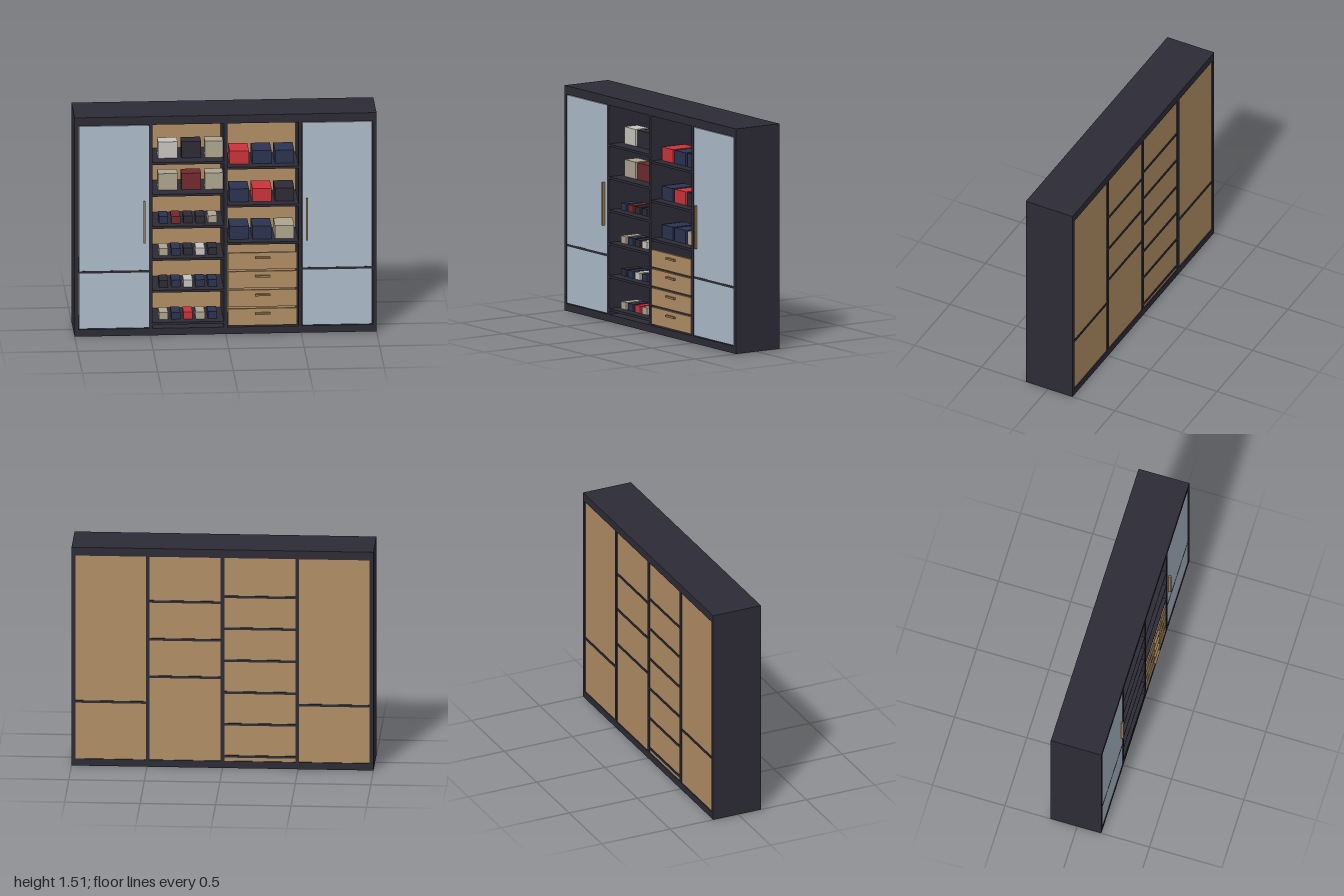
import * as THREE from 'three';

const material = (name, color) => new THREE.MeshStandardMaterial({ name, color });

export function createModel() {
  const root = new THREE.Group();
  root.name = 'wardrobe';

  const dark = material('charcoal', 0x2d2c36);
  const wood = material('oak', 0xb18e65);
  const glass = material('pale blue', 0xaebbcb);
  const bronze = material('bronze', 0x957650);
  const navy = material('navy', 0x2b3350);
  const red = material('red', 0xcb333b);
  const maroon = material('maroon', 0x702a2f);
  const beige = material('beige', 0xaea58f);
  const white = material('off white', 0xc8c5bf);

  // Box given by its extents on each axis
  const box = (name, mat, [x0, x1], [y0, y1], [z0, z1]) => {
    const mesh = new THREE.Mesh(new THREE.BoxGeometry(x1 - x0, y1 - y0, z1 - z0), mat);
    mesh.position.set((x0 + x1) / 2, (y0 + y1) / 2, (z0 + z1) / 2);
    mesh.name = name;
    root.add(mesh);
    return mesh;
  };

  const FRONT = 0.167, BACK = -0.183;
  const depth = [BACK, FRONT];

  // Carcass
  box('topPanel', dark, [-1, 1], [1.455, 1.512], depth);
  box('bottomPlinth', dark, [-1, 1], [0, 0.048], depth);
  for (const s of [-1, 1]) {
    box('sidePanel', dark, s < 0 ? [-1, -0.975] : [0.975, 1], [0.048, 1.455], depth);
    box('divider', dark, s < 0 ? [-0.507, -0.483] : [0.483, 0.507], [0.048, 1.455], depth);
  }
  box('centreDivider', dark, [-0.012, 0.012], [0.048, 1.455], depth);
  box('backPanel', wood, [-0.976, 0.976], [0.047, 1.456], [-0.176, -0.166]);

  // Shelves, given by the height of their middle
  const shelf = (x, y) => box('shelf', dark, x, [y - 0.008, y + 0.008], [BACK + 0.002, FRONT - 0.001]);
  const leftShelves = [1.185, 0.965, 0.743, 0.522, 0.302, 0.08];
  const rightShelves = [1.144, 0.882, 0.623];
  leftShelves.forEach(y => shelf([-0.483, -0.012], y));
  rightShelves.forEach(y => shelf([0.012, 0.483], y));

  // Doors with their inner shelf and long handle
  for (const s of [-1, 1]) {
    const span = (a, b) => (s < 0 ? [-b, -a] : [a, b]);
    box('door', glass, span(0.509, 0.971), [0.053, 1.451], [FRONT - 0.022, FRONT - 0.002]);
    shelf(span(0.507, 0.975), 0.443);
    box('doorHandle', bronze, span(0.533, 0.545), [0.64, 0.93], [FRONT - 0.002, 0.183]);
  }

  // Drawer fronts and pulls
  for (let i = 0; i < 4; i++) {
    const y = 0.057 + i * 0.1285;
    box('drawerFront', wood, [0.016, 0.474], [y, y + 0.115], [FRONT - 0.02, FRONT - 0.001]);
    box('drawerPull', bronze, [0.195, 0.295], [y + 0.076, y + 0.089], [FRONT - 0.001, 0.181]);
  }

  // Row of boxes standing on a shelf
  const row = (name, shelfY, mats, firstX, step, [w, h], z) =>
    mats.forEach((mat, i) => {
      const x = firstX + i * step, y = shelfY + 0.008;
      box(name, mat, [x - w / 2, x + w / 2], [y, y + h], z);
    });

  // Storage boxes, upper left
  [[white, dark, beige], [beige, maroon, beige]].forEach((mats, i) =>
    row('storageBox', leftShelves[i], mats, -0.377, 0.155, [0.13, 0.113], [-0.035, 0.07]));

  // Small shoe boxes, lower left
  [
    [navy, maroon, dark, dark, beige],
    [beige, navy, dark, white, dark],
    [dark, navy, white, navy, navy],
    [beige, navy, red, beige, navy],
  ].forEach((mats, i) =>
    row('shoeBox', leftShelves[i + 2], mats, -0.407, 0.081, [0.06, 0.048], [-0.03, 0.1]));

  // Storage boxes, right
  [[red, navy, navy], [navy, red, dark], [navy, navy, beige]].forEach((mats, i) =>
    row('wideBox', rightShelves[i], mats, 0.095, 0.15, [0.128, 0.09], [-0.085, 0.095]));

  return root;
}
